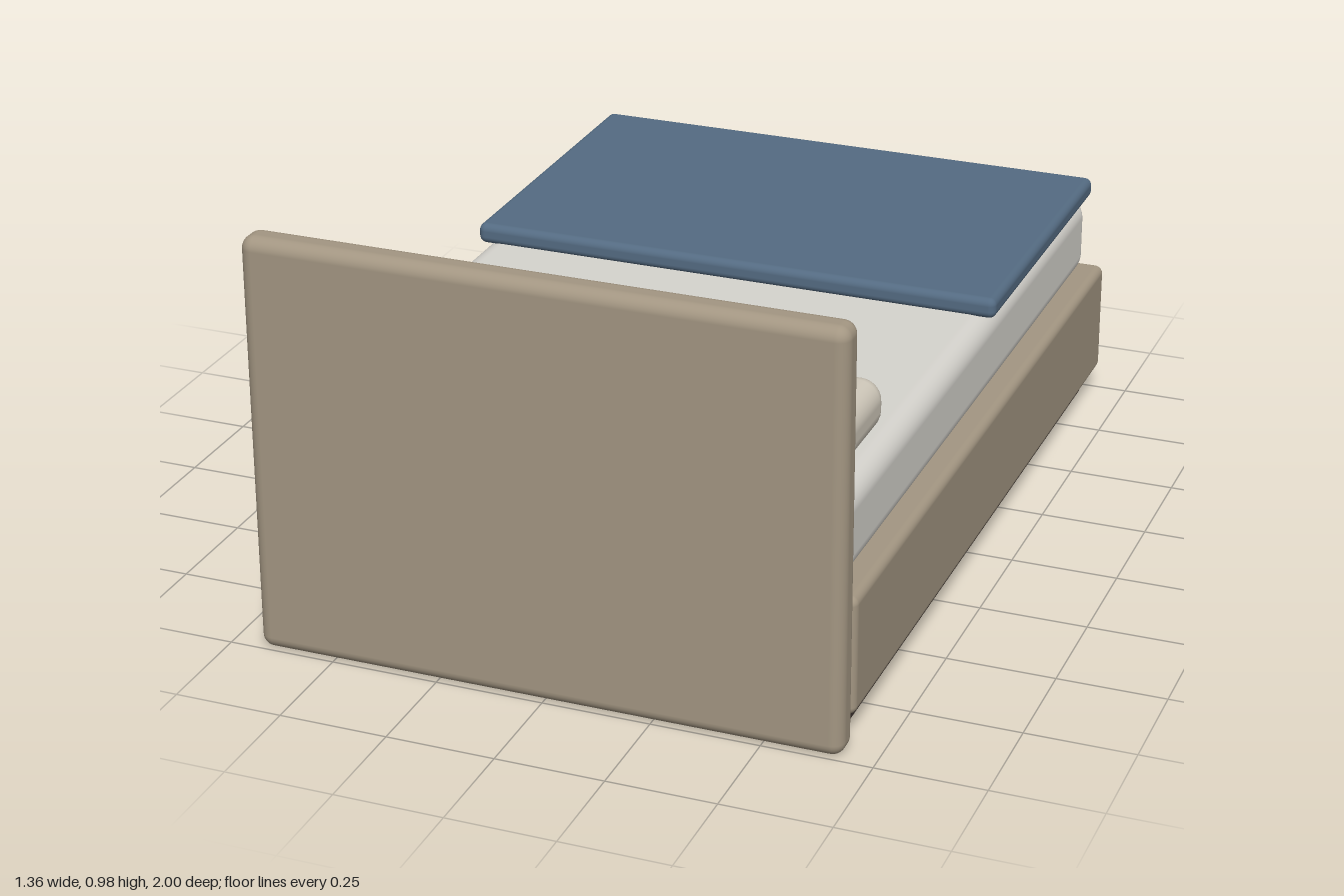
import * as THREE from 'three';
import { RoundedBoxGeometry } from 'three/addons/geometries/RoundedBoxGeometry.js';

const material = (color) => new THREE.MeshStandardMaterial({ color });

// Box given by its [min, max] range on each axis; radius 0 keeps sharp edges
function block(name, [x0, x1], [y0, y1], [z0, z1], radius, mat) {
  const size = [x1 - x0, y1 - y0, z1 - z0];
  const geometry = radius > 0
    ? new RoundedBoxGeometry(...size, 4, radius)
    : new THREE.BoxGeometry(...size);
  const mesh = new THREE.Mesh(geometry, mat);
  mesh.name = name;
  mesh.position.set((x0 + x1) / 2, (y0 + y1) / 2, (z0 + z1) / 2);
  return mesh;
}

export function createModel() {
  const bed = new THREE.Group();
  bed.name = 'bed';

  const upholstery = material(0xa39682);
  const plinthDark = material(0x3d3430);
  const linen = material(0xd6d4ce);
  const pillowCloth = material(0xcfc8ba);
  const blanketBlue = material(0x546b82);

  // Frame: recessed plinth, base and headboard
  bed.add(
    block('plinth', [-0.64, 0.64], [0, 0.06], [-0.96, 0.88], 0, plinthDark),
    block('base', [-0.68, 0.68], [0.06, 0.34], [-1, 0.92], 0.02, upholstery),
    block('headboard', [-0.68, 0.68], [0, 0.98], [0.92, 1], 0.03, upholstery),
  );

  // Three padded panels on the inner face of the headboard
  const panels = new THREE.Group();
  panels.name = 'headboardPanels';
  for (const x of [-0.417, 0, 0.417]) {
    panels.add(block('headboardPanel', [x - 0.202, x + 0.202], [0.44, 0.925], [0.88, 0.92], 0.016, upholstery));
  }
  bed.add(panels);

  // Bedding: mattress, folded blanket at the foot, two pillows at the head
  bed.add(
    block('mattress', [-0.64, 0.64], [0.34, 0.54], [-0.96, 0.88], 0.05, linen),
    block('blanket', [-0.65, 0.65], [0.535, 0.585], [-0.965, -0.13], 0.018, blanketBlue),
    block('rightPillow', [-0.6, -0.04], [0.54, 0.66], [0.495, 0.84], 0.05, pillowCloth),
    block('leftPillow', [0.04, 0.6], [0.54, 0.66], [0.495, 0.84], 0.05, pillowCloth),
  );

  return bed;
}
